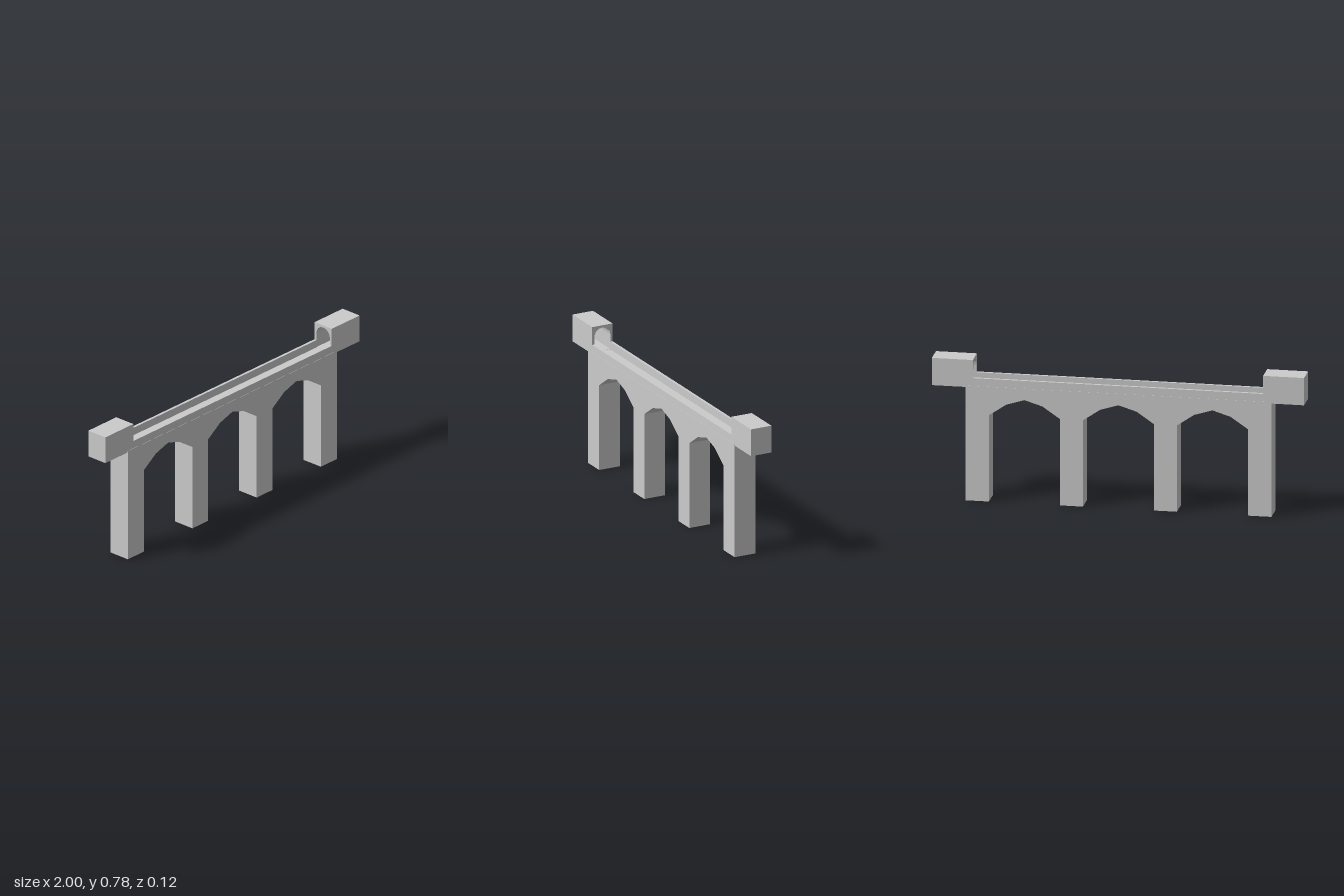
import * as THREE from 'three';

const material = new THREE.MeshStandardMaterial({ color: 0xcccccc, flatShading: true });

function addMesh(parent, name, geometry, x = 0, y = 0, z = 0) {
  const mesh = new THREE.Mesh(geometry, material);
  mesh.name = name;
  mesh.position.set(x, y, z);
  parent.add(mesh);
  return mesh;
}

const DECK = 0.635;      // top of the arched body, and the walkway floor
const BODY_W = 0.125;    // body width along z
const TOP_W = 0.122;     // parapets and end blocks are a hair narrower
const INNER = 0.78;      // inner face of the end blocks

// Piers and arches in one outline, extruded across the bridge
function archedBody() {
  const s = new THREE.Shape();
  s.moveTo(-0.825, DECK);
  s.lineTo(-0.825, 0);
  for (const c of [-0.508, -0.003, 0.502]) {
    const h = 0.191;
    s.lineTo(c - h, 0);
    s.lineTo(c - h, 0.478);
    s.lineTo(c - 0.097, 0.542);
    s.lineTo(c, 0.572);
    s.lineTo(c + 0.097, 0.542);
    s.lineTo(c + h, 0.478);
    s.lineTo(c + h, 0);
  }
  s.lineTo(0.819, 0);
  s.lineTo(0.819, DECK);
  const g = new THREE.ExtrudeGeometry(s, { depth: BODY_W, bevelEnabled: false });
  return g.translate(0, 0, -BODY_W / 2);
}

// Hollow end block: arched tunnel open toward the walkway, closed outside
function endBlock(name) {
  const group = new THREE.Group();
  group.name = name;
  const bottom = 0.627, top = 0.778, cap = 0.02, w = TOP_W / 2, o = 0.048;
  const s = new THREE.Shape();
  s.moveTo(-w, bottom);
  s.lineTo(w, bottom);
  s.lineTo(w, top);
  s.lineTo(-w, top);
  s.closePath();
  const hole = new THREE.Path();
  hole.moveTo(-o, DECK + 0.001);
  hole.lineTo(-o, 0.72);
  for (let i = 1; i <= 8; i++) {
    const a = Math.PI * (1 - i / 8);
    hole.lineTo(o * Math.cos(a), 0.72 + 0.046 * Math.sin(a));
  }
  hole.lineTo(o, DECK + 0.001);
  hole.closePath();
  s.holes.push(hole);
  const g = new THREE.ExtrudeGeometry(s, { depth: 1 - INNER - cap, bevelEnabled: false });
  g.rotateY(Math.PI / 2).translate(INNER, 0, 0);
  addMesh(group, 'tunnelWalls', g);
  addMesh(group, 'outerWall', new THREE.BoxGeometry(cap, top - bottom, TOP_W),
    1 - cap / 2, (top + bottom) / 2, 0);
  return group;
}

export function createModel() {
  const bridge = new THREE.Group();
  bridge.name = 'archedBridge';
  addMesh(bridge, 'archedBody', archedBody());

  // Low walls on both sides of the walkway
  const thick = 0.015, height = 0.678 - DECK;
  for (const [name, side] of [['frontParapet', 1], ['backParapet', -1]]) {
    addMesh(bridge, name, new THREE.BoxGeometry(2 * INNER, height, thick),
      0, DECK + height / 2, side * (TOP_W - thick) / 2);
  }

  // Matching blocks over both ends
  const left = endBlock('leftEndBlock');
  const right = endBlock('rightEndBlock');
  right.rotation.y = Math.PI;
  bridge.add(left, right);
  return bridge;
}
